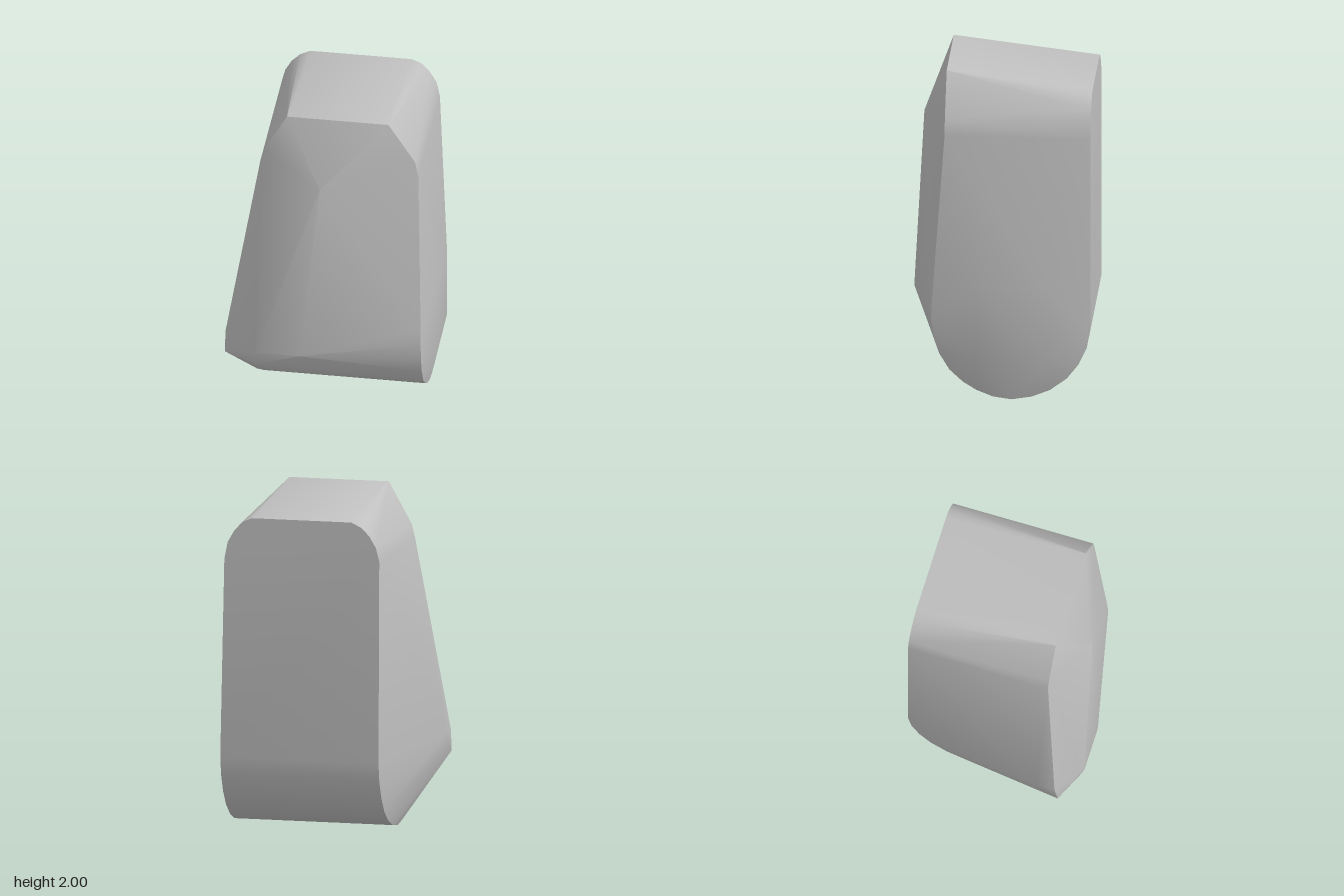
import * as THREE from 'three';
import { toCreasedNormals } from 'three/addons/utils/BufferGeometryUtils.js';
import { ConvexGeometry } from 'three/addons/geometries/ConvexGeometry.js';

export function createModel() {
  const group = new THREE.Group();
  group.name = 'facetedBlock';
  const grey = new THREE.MeshStandardMaterial({ color: 0xc0c0c0 });
  grey.name = 'plain grey';

  const points = [];
  const add = (x, y, z) => points.push(new THREE.Vector3(x, y, z));

  // Rounded underside: one [z, y] arc running between the two end faces
  const arc = [
    [-0.55, 0.45], [-0.53, 0.34], [-0.48, 0.23], [-0.41, 0.14], [-0.31, 0.065],
    [-0.2, 0.02], [-0.08, 0], [0.03, 0.015], [0.13, 0.055], [0.21, 0.105],
  ];
  for (const [z, y] of arc) {
    add(-0.415, y, z);
    add(0.555, y, z);
  }

  // Front edge of the left end face
  for (const [z, y] of [[0.29, 0.18], [0.35, 0.28], [0.385, 0.39], [0.398, 0.5], [0.395, 0.6]]) add(0.555, y, z);

  // Back face with rounded upper corners, as [x, y]
  const backTop = [
    [-0.42, 1.67], [-0.4, 1.75], [-0.36, 1.82], [-0.31, 1.87], [-0.25, 1.9],
    [0.36, 1.9], [0.42, 1.875], [0.47, 1.82], [0.51, 1.75], [0.53, 1.65],
  ];
  for (const [x, y] of backTop) add(x, y, -0.55);

  // Front rim of the top, as [x, y]
  const frontTop = [
    [-0.42, 1.67], [-0.4, 1.75], [-0.26, 2], [0.35, 2], [0.51, 1.75], [0.53, 1.65],
  ];
  for (const [x, y] of frontTop) add(x, y, 0.32);

  // Front ridge and lower lip
  add(-0.04, 1.6, 0.48);
  for (const x of [-0.415, -0.15]) add(x, 0.45, 0.548);
  add(-0.415, 0.36, 0.53);
  add(-0.415, 0.3, 0.49);

  // Flared corner on the right side
  add(-0.615, 0.37, 0.44);
  add(-0.615, 0.5, 0.42);
  add(-0.615, 0.5, 0.31);

  // Shallow bulge on the left side
  for (const z of [-0.3, 0.14]) for (const y of [0.27, 0.72]) add(0.61, y, z);

  const body = new THREE.Mesh(toCreasedNormals(new ConvexGeometry(points), 0.5), grey);
  body.name = 'body';
  group.add(body);
  return group;
}
